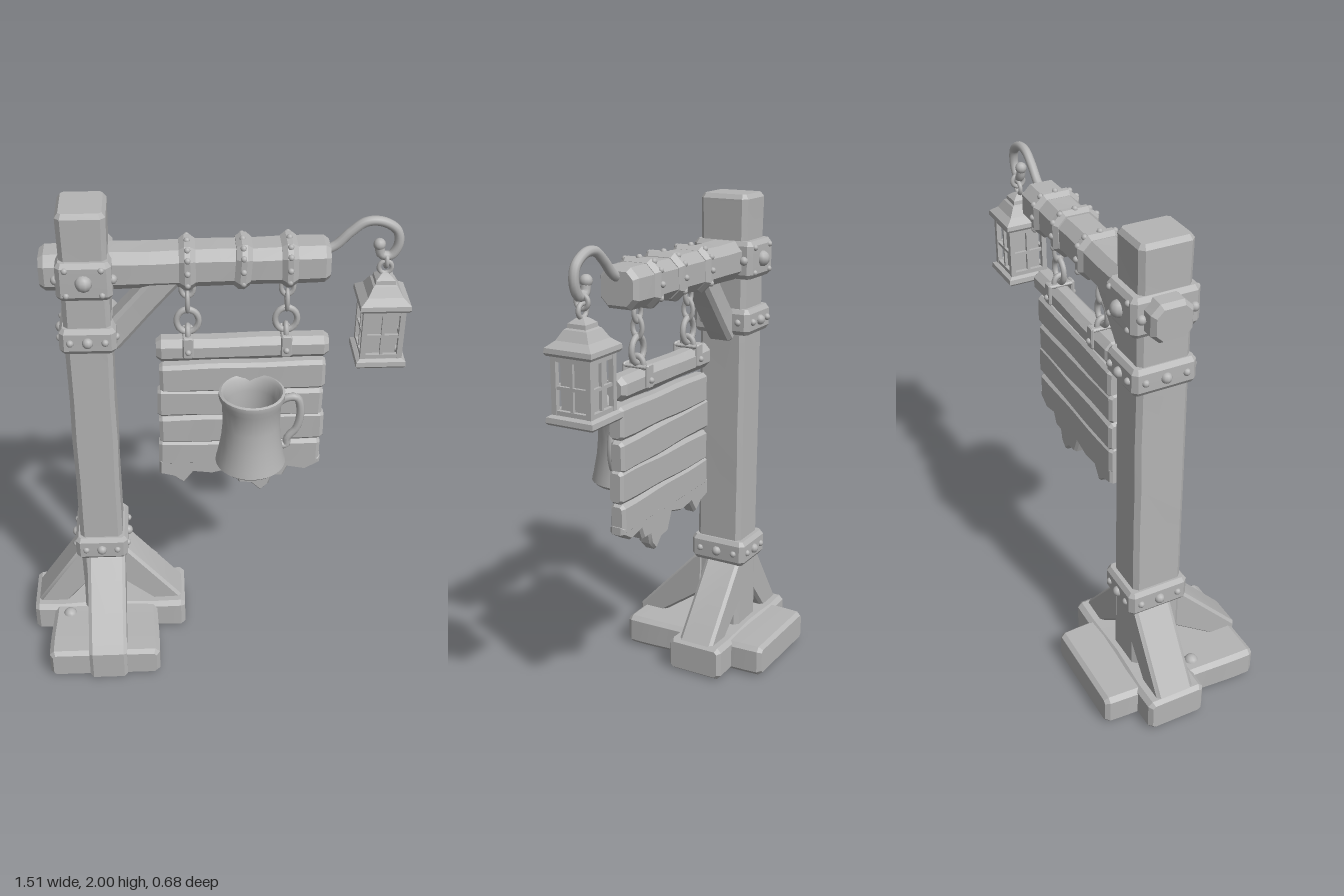
import * as THREE from 'three';
import { toCreasedNormals } from 'three/addons/utils/BufferGeometryUtils.js';

const V = (x, y, z) => new THREE.Vector3(x, y, z);
const MID = -0.06; // depth of the post and beam axis

export function createModel() {
  const root = new THREE.Group();
  root.name = 'tavernSignPost';
  const stone = new THREE.MeshStandardMaterial({ color: 0xb4b4b4 });
  stone.name = 'plain grey';
  let seed = 1;

  const add = (name, geo, x = 0, y = 0, z = 0, parent = root) => {
    const m = new THREE.Mesh(geo, stone);
    m.name = name;
    m.position.set(x, y, z);
    parent.add(m);
    return m;
  };
  const group = (name, x = 0, y = 0, z = 0) => {
    const g = new THREE.Group();
    g.name = name;
    g.position.set(x, y, z);
    root.add(g);
    return g;
  };

  // Chamfered bar along z, slightly uneven like hand-hewn timber
  function barGeo(w, h, len, c = 0.015, wob = 0.02, steps = 6) {
    const b = Math.min(c, 0.02), x = w / 2, y = h / 2;
    const s = new THREE.Shape([[-x + c, -y], [x - c, -y], [x, -y + c], [x, y - c],
      [x - c, y], [-x + c, y], [-x, y - c], [-x, -y + c]].map(p => new THREE.Vector2(...p)));
    const g = new THREE.ExtrudeGeometry(s, { depth: len - 2 * b, steps, bevelSize: b * 0.7,
      bevelOffset: -b * 0.7, bevelThickness: b, bevelSegments: 1 });
    g.translate(0, 0, -len / 2 + b);
    const p = g.attributes.position, k = seed++ * 1.7;
    for (let i = 0; i < p.count; i++) {
      const z = p.getZ(i);
      p.setX(i, p.getX(i) * (1 + wob * Math.sin(z * 13 + k)));
      p.setY(i, p.getY(i) * (1 + wob * Math.sin(z * 17 + k * 2)));
    }
    return toCreasedNormals(g, 0.5);
  }
  function bar(name, a, b, w, h, c, wob, steps, parent = root) {
    const m = add(name, barGeo(w, h, a.distanceTo(b), c, wob, steps), 0, 0, 0, parent);
    m.position.copy(a).add(b).multiplyScalar(0.5);
    m.lookAt(b);
    return m;
  }
  const rivet = (x, y, z, r = 0.014) =>
    add('rivet', new THREE.SphereGeometry(r, 10, 8), x, y, z);

  // Post and beam
  bar('post', V(-0.445, 0.05, MID + 0.005), V(-0.445, 2, MID + 0.005), 0.175, 0.205, 0.018, 0.02, 10);
  bar('beam', V(-0.61, 1.74, -0.07), V(0.45, 1.755, -0.07), 0.16, 0.148, 0.035, 0.025, 8);
  bar('beamBrace', V(-0.38, 1.44, MID), V(-0.13, 1.73, MID), 0.11, 0.1, 0.015);

  // Collars round the post: [name, centre y, height, width, depth]
  for (const [name, y, h, w, d] of [['footCollar', 0.483, 0.11, 0.215, 0.25],
    ['braceCollar', 1.495, 0.105, 0.21, 0.255], ['beamCollar', 1.745, 0.15, 0.205, 0.26]]) {
    bar(name, V(-0.445, y - h / 2, MID), V(-0.445, y + h / 2, MID), w, d, 0.018, 0.015, 2);
    for (const s of [-1, 1]) {
      const fz = MID + s * d / 2, fx = -0.445 + s * w / 2;
      if (name === 'beamCollar') {
        rivet(-0.445, y, fz, 0.032);
        for (const i of [-1, 1]) for (const j of [-1, 1]) rivet(-0.445 + i * 0.065, y + j * 0.05, fz, 0.012);
        for (const i of [-1, 1]) rivet(fx, y, MID + i * 0.1, 0.018);
      } else for (const i of [-1, 0, 1]) {
        const r = i ? 0.014 : 0.021;
        rivet(-0.445 + i * 0.065, y, fz, r);
        rivet(fx, y, MID + i * 0.08, r);
      }
    }
  }

  // Straps nailed round the beam
  for (const [x, tilt] of [[-0.073, 0], [0.13, 0.12], [0.3, -0.03]]) {
    const y = 1.75 + x * 0.014;
    bar('beamStrap', V(x - 0.03, y, -0.07), V(x + 0.03, y, -0.07), 0.19, 0.178, 0.042, 0.01, 1).rotateX(tilt * 0.5);
    for (const dy of [-0.05, 0.0, 0.05])
      for (const s of [-1, 1]) rivet(x, y + dy, -0.07 + s * (Math.abs(dy) > 0.04 ? 0.088 : 0.095), 0.012);
    for (const dz of [-0.06, 0, 0.06]) rivet(x, y + (dz ? 0.078 : 0.088), -0.07 + dz, 0.012);
  }

  // Stepped base blocks
  bar('baseCrossBlock', V(-0.755, 0.07, -0.08), V(-0.1, 0.07, -0.08), 0.24, 0.14, 0.018, 0.04);
  bar('baseFrontBlock', V(-0.445, 0.066, -0.06), V(-0.445, 0.066, 0.32), 0.455, 0.13, 0.018, 0.02);
  bar('baseBackBlock', V(-0.435, 0.066, -0.34), V(-0.435, 0.066, 0), 0.435, 0.13, 0.018, 0.02);
  add('baseKnot', new THREE.SphereGeometry(0.03, 10, 8), -0.6, 0.12, 0.07);

  // Sloping foot braces on three sides: [name, reach, foot depth, x, z, turn]
  for (const [name, out, low, x, z, ry] of [['frontFootBrace', 0.285, 0.005, -0.43, 0.05, -Math.PI / 2],
    ['leftFootBrace', 0.25, 0.07, -0.36, -0.08, 0], ['rightFootBrace', 0.21, 0.07, -0.53, -0.08, Math.PI]]) {
    const s = new THREE.Shape([[-0.03, 0.45], [0.01, 0.43], [out, 0.135], [out, low],
      [out - 0.13, low], [out - 0.13, 0.13], [-0.03, 0.26]].map(p => new THREE.Vector2(...p)));
    const g = new THREE.ExtrudeGeometry(s, { depth: 0.13, bevelSize: 0.01, bevelOffset: -0.01,
      bevelThickness: 0.014, bevelSegments: 1 });
    g.translate(0, 0, -0.065);
    add(name, toCreasedNormals(g, 0.5), x, 0, z).rotation.y = ry;
  }

  // Hanging sign: thick top rail, planks, ragged last plank
  const sign = group('sign');
  bar('signRail', V(-0.195, 1.39, MID), V(0.465, 1.397, MID), 0.09, 0.094, 0.025, 0.04, 8, sign);
  for (const [x0, x1, y0, y1, tilt] of [[-0.185, 0.46, 1.2, 1.325, 0.005], [-0.195, 0.455, 1.08, 1.205, -0.006],
    [-0.19, 0.465, 0.955, 1.085, 0.005], [-0.195, 0.455, 0.84, 0.96, -0.004]])
    bar('signPlank', V(x0, (y0 + y1) / 2 - tilt, MID), V(x1, (y0 + y1) / 2 + tilt, MID),
      0.062, y1 - y0, 0.014, 0.035, 8, sign);
  const rag = new THREE.Shape([[-0.195, 0.87], [-0.195, 0.8], [-0.14, 0.785], [-0.095, 0.75], [-0.055, 0.805],
    [0.02, 0.795], [0.1, 0.815], [0.13, 0.745], [0.18, 0.74], [0.22, 0.7], [0.255, 0.735], [0.265, 0.775],
    [0.31, 0.775], [0.33, 0.82], [0.4, 0.805], [0.46, 0.84], [0.46, 0.87]].map(p => new THREE.Vector2(...p)));
  add('raggedPlank', toCreasedNormals(new THREE.ExtrudeGeometry(rag, { depth: 0.036, bevelSize: 0.008,
    bevelOffset: -0.008, bevelThickness: 0.012, bevelSegments: 1 }), 0.5), 0, 0, MID - 0.018, sign);

  // Chains joining beam and sign
  for (const x of [-0.073, 0.3]) {
    const chain = group('chain', x, 0, MID);
    for (const [y, r, t, turn, sy] of [[1.645, 0.024, 0.009, 0, 1.3], [1.59, 0.02, 0.009, Math.PI / 2, 1.7],
      [1.508, 0.042, 0.012, 0, 1.15], [1.455, 0.024, 0.011, Math.PI / 2, 1.2]]) {
      const l = add('chainLink', new THREE.TorusGeometry(r, t, 8, 20), 0, y, 0, chain);
      l.rotation.y = turn;
      l.scale.y = sy;
    }
    for (const s of [-1, 1]) {
      add('signClip', barGeo(0.042, 0.09, 0.014, 0.006, 0, 1), 0, 1.415, s * 0.049, chain);
      rivet(x, 1.4, MID + s * 0.057, 0.012);
    }
    add('clipTop', barGeo(0.042, 0.014, 0.11, 0.005, 0, 1), 0, 1.448, 0, chain);
  }

  // Hollow mug mounted on the sign
  const mug = group('mug', 0.166, 0, 0.075);
  const wall = [[0, 0.937], [0.125, 0.937], [0.138, 0.95], [0.132, 0.975], [0.118, 1.05], [0.111, 1.13],
    [0.114, 1.22], [0.127, 1.25], [0.127, 1.27], [0.118, 1.274], [0.107, 1.262], [0.098, 1.21],
    [0.096, 1.1], [0.105, 1.0], [0, 0.99]].map(p => new THREE.Vector2(...p));
  add('mugBody', toCreasedNormals(new THREE.LatheGeometry(wall, 28), 0.7), 0, 0, 0, mug);
  const grip = new THREE.CatmullRomCurve3([V(0.1, 1.17, 0), V(0.14, 1.2, 0), V(0.18, 1.2, 0), V(0.197, 1.14, 0),
    V(0.185, 1.06, 0), V(0.15, 1.01, 0), V(0.145, 0.975, 0), V(0.115, 0.98, 0)]);
  add('mugHandle', new THREE.TubeGeometry(grip, 32, 0.016, 8), 0, 0, -0.055, mug);

  // Curled iron hook on the beam end
  const curl = new THREE.CatmullRomCurve3([V(0.42, 1.785, 0), V(0.47, 1.81, 0), V(0.52, 1.86, 0), V(0.575, 1.9, 0),
    V(0.635, 1.9, 0), V(0.69, 1.865, 0), V(0.7, 1.81, 0), V(0.675, 1.765, 0), V(0.64, 1.77, 0), V(0.63, 1.805, 0)]);
  add('hook', new THREE.TubeGeometry(curl, 48, 0.018, 10), 0, 0, -0.065);
  add('hookTip', new THREE.SphereGeometry(0.023, 12, 8), 0.63, 1.81, -0.065);

  // Square lantern
  const lamp = group('lantern', 0.66, 0, -0.068);
  const square = (name, pts) => {
    const g = new THREE.LatheGeometry(pts.map(([r, y]) => new THREE.Vector2(r * Math.SQRT2, y)), 4);
    g.rotateY(Math.PI / 4);
    add(name, toCreasedNormals(g, 0.3), 0, 0, 0, lamp);
  };
  square('lanternRoof', [[0, 1.57], [0.09, 1.57], [0.096, 1.58], [0.094, 1.597], [0.066, 1.62], [0.046, 1.655],
    [0.038, 1.66], [0.036, 1.675], [0.018, 1.69], [0, 1.7]]);
  square('lanternBase', [[0, 1.33], [0.09, 1.33], [0.096, 1.338], [0.094, 1.357], [0.08, 1.365], [0, 1.365]]);
  square('lanternCore', [[0, 1.36], [0.056, 1.36], [0.056, 1.575], [0, 1.575]]);
  for (const y of [1.715, 1.745]) {
    const ring = add('lanternRing', new THREE.TorusGeometry(0.024, 0.009, 8, 18), 0, y, 0, lamp);
    ring.rotation.y = y > 1.73 ? Math.PI / 2 : 0;
  }
  for (let i = 0; i < 4; i++) {
    const side = new THREE.Group();
    side.name = 'lanternSide';
    side.rotation.y = i * Math.PI / 2;
    lamp.add(side);
    add('cornerPost', new THREE.BoxGeometry(0.02, 0.22, 0.02), 0.07, 1.467, 0.07, side);
    add('windowUpright', new THREE.BoxGeometry(0.012, 0.21, 0.012), 0, 1.467, 0.07, side);
    add('windowCrossbar', new THREE.BoxGeometry(0.14, 0.012, 0.012), 0, 1.46, 0.07, side);
    add('windowHead', new THREE.BoxGeometry(0.14, 0.02, 0.016), 0, 1.56, 0.07, side);
    add('windowSill', new THREE.BoxGeometry(0.14, 0.018, 0.016), 0, 1.372, 0.07, side);
  }
  return root;
}
